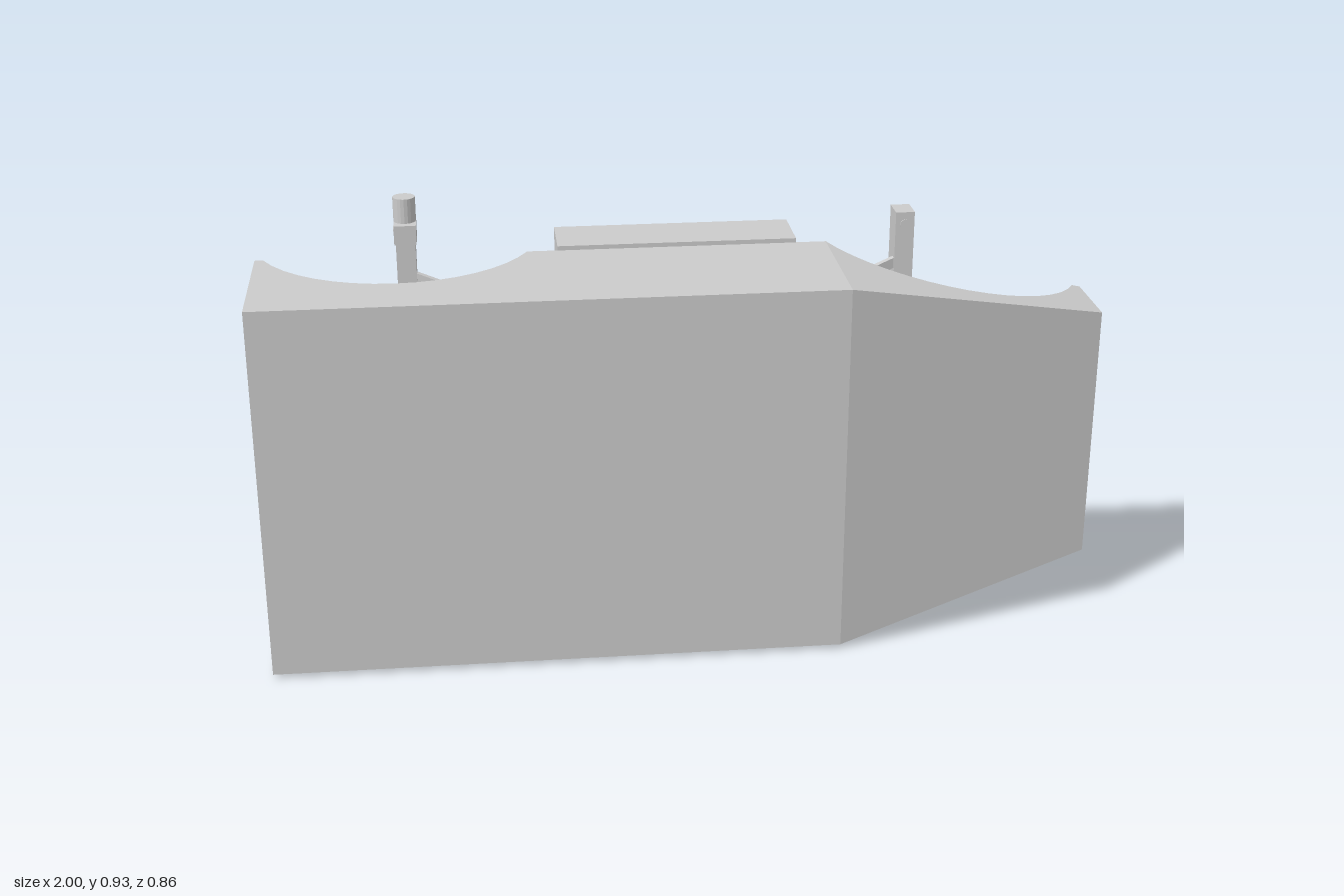
import * as THREE from 'three';

const MID = 0.474; // height of the horizontal mirror plane

export function createModel() {
  const model = new THREE.Group();
  const grey = new THREE.MeshStandardMaterial({ color: 0xcccccc, flatShading: true });

  function add(name, geometry, x = 0, y = 0, z = 0, parent = model) {
    const mesh = new THREE.Mesh(geometry, grey);
    mesh.name = name;
    mesh.position.set(x, y, z);
    parent.add(mesh);
    return mesh;
  }

  // Upright prism from an [x, z] outline
  function prism(outline, yLow, yHigh) {
    const shape = new THREE.Shape(outline.map(([x, z]) => new THREE.Vector2(x, -z)));
    const geo = new THREE.ExtrudeGeometry(shape, { depth: yHigh - yLow, bevelEnabled: false });
    return geo.rotateX(-Math.PI / 2).translate(0, yLow, 0);
  }

  // Curved recess outline across the back edge
  const BACK = 0.077, FRONT = 0.43;
  function wellArc(cx) {
    const half = 0.31, depth = 0.198;
    const r = (half * half + depth * depth) / (2 * depth);
    const a = Math.asin(half / r);
    const points = [];
    for (let i = 0; i <= 16; i++) {
      const t = a - (2 * a * i) / 16;
      points.push([cx + r * Math.sin(t), BACK + depth - r + r * Math.cos(t)]);
    }
    return points;
  }

  // Body: a straight and a tapered section, each with a full middle layer
  // and recessed layers above and below
  const KNEE = 0.36, LOW = 0.018, HIGH = 0.93, FLOOR = 0.238;
  const body = new THREE.Group();
  body.name = 'body';
  model.add(body);
  const sections = [
    { name: 'straight', front: [[-1, FRONT], [KNEE, FRONT]], x0: -1, x1: KNEE, well: -0.67 },
    { name: 'tapered', front: [[KNEE, FRONT], [1, 0.265]], x0: KNEE, x1: 1, well: 0.67 },
  ];
  for (const s of sections) {
    const plain = [...s.front, [s.x1, BACK], [s.x0, BACK]];
    // the tapered recess starts right at the knee, so keep a sliver of wall there
    const arc = wellArc(s.well).map(([x, z]) => [Math.max(x, s.x0 + 0.001), z]);
    const notched = [...s.front, [s.x1, BACK], ...arc, [s.x0, BACK]];
    add(s.name + 'Middle', prism(plain, MID - FLOOR, MID + FLOOR), 0, 0, 0, body);
    for (const [part, y0, y1] of [['Upper', MID + FLOOR, HIGH], ['Lower', LOW, MID - FLOOR]]) {
      const geo = prism(notched, y0, y1);
      const p = geo.attributes.position;
      // outer faces slope inward past the knee
      for (let i = 0; i < p.count; i++) {
        const drop = 0.14 * Math.max(0, (p.getX(i) - KNEE) / (1 - KNEE));
        if (Math.abs(p.getY(i) - HIGH) < 1e-4) p.setY(i, HIGH - drop);
        if (Math.abs(p.getY(i) - LOW) < 1e-4) p.setY(i, LOW + drop);
      }
      geo.computeVertexNormals();
      add(s.name + part, geo, 0, 0, 0, body);
    }
  }

  // Rear boxes and bracket plates, mirrored about the middle height
  const half = [[0.12, -0.235], [0.365, -0.08], [0.415, 0.01], [0.32, BACK]];
  const plate = [...half, ...half.map(([x, z]) => [-x, z]).reverse()].reverse();
  for (const s of [1, -1]) {
    add('rearBox', new THREE.BoxGeometry(0.575, 0.297, 0.151), 0, MID + s * 0.318, 0.0025);
    add('bracketPlate', prism(plate, -0.0045, 0.0045), 0, MID + s * 0.158, 0);
  }
  add('bracketBack', new THREE.BoxGeometry(0.34, 0.31, 0.017), 0, MID, -0.224);

  // Bars from the bracket to the posts
  function bar(a, b) {
    const mesh = add('bar', new THREE.BoxGeometry(0.014, 0.027, a.distanceTo(b)));
    mesh.position.lerpVectors(a, b, 0.5);
    mesh.lookAt(b);
  }
  for (const sx of [1, -1]) for (const sy of [1, -1]) {
    bar(new THREE.Vector3(sx * 0.16, MID + sy * 0.098, -0.222),
      new THREE.Vector3(sx * 0.635, MID + sy * 0.25, -0.362));
  }

  // Posts with small pin heads; the right one has collars and round ends
  const POST_Z = -0.381;
  function pin(x, y, z, alongX) {
    const geo = new THREE.CylinderGeometry(0.013, 0.013, 0.006, 12);
    geo.rotateX(Math.PI / 2);
    if (alongX) geo.rotateY(Math.PI / 2);
    add('pin', geo, x, y, z);
  }
  add('leftPost', new THREE.BoxGeometry(0.05, 0.775, 0.071), 0.65, MID, POST_Z);
  add('rightPost', new THREE.BoxGeometry(0.05, 0.775, 0.071), -0.657, MID, POST_Z);
  for (const s of [1, -1]) {
    pin(0.65, MID + s * 0.355, POST_Z - 0.0345, false);
    pin(0.65, MID + s * 0.355, POST_Z + 0.0345, false);
    add('collar', new THREE.BoxGeometry(0.057, 0.051, 0.097), -0.657, MID + s * 0.373, POST_Z);
    pin(-0.657, MID + s * 0.373, POST_Z - 0.0475, false);
    pin(-0.6845, MID + s * 0.373, POST_Z, true);
    add('postEnd', new THREE.CylinderGeometry(0.029, 0.029, 0.08, 20), -0.657, MID + s * 0.423, POST_Z);
  }
  return model;
}
